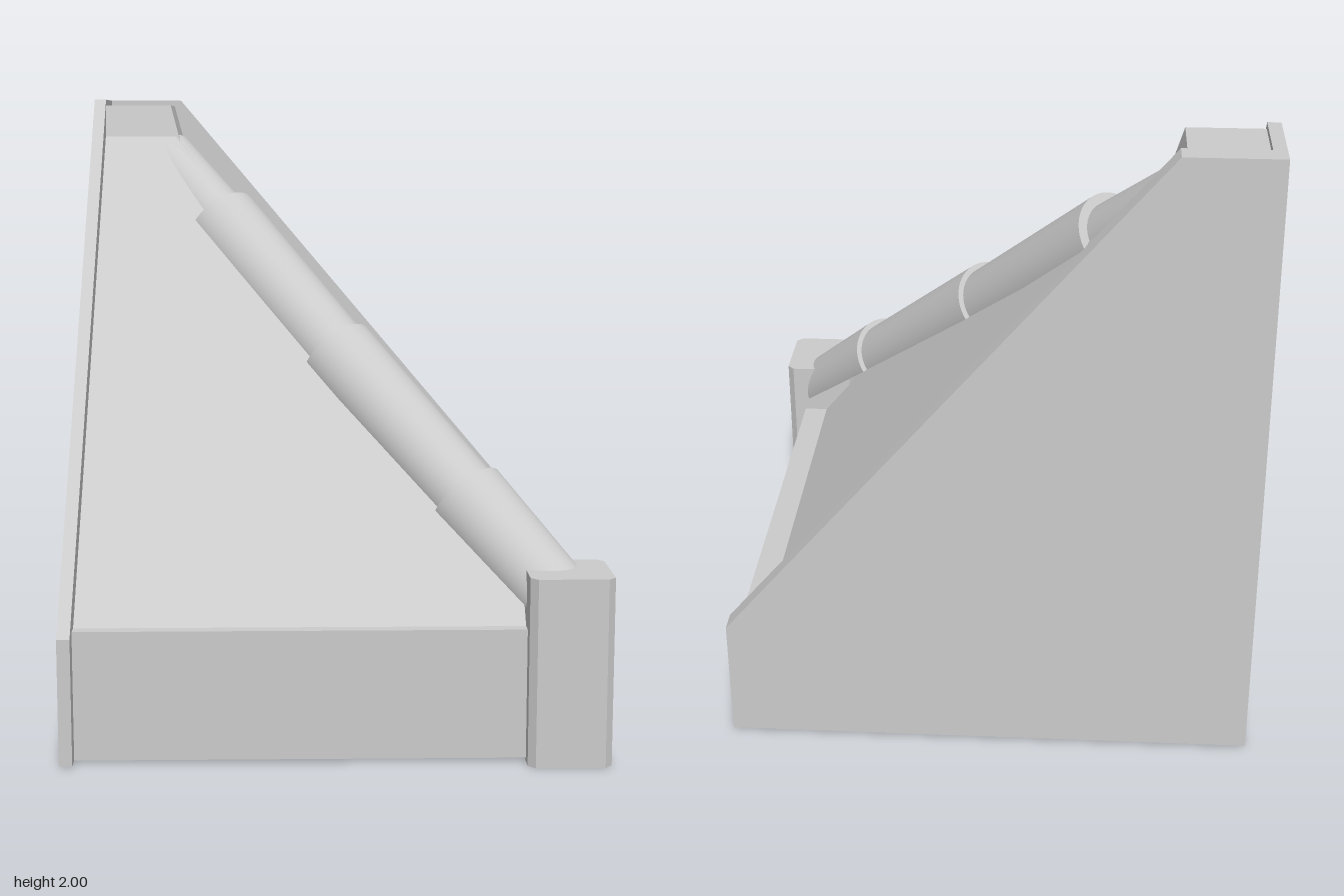
import * as THREE from 'three';

const grey = new THREE.MeshStandardMaterial({ color: 0xcccccc });
const greyFlat = new THREE.MeshStandardMaterial({ color: 0xcccccc, flatShading: true, side: THREE.DoubleSide });

function add(group, name, geometry, material = grey) {
  const mesh = new THREE.Mesh(geometry, material);
  mesh.name = name;
  group.add(mesh);
  return mesh;
}

// Box given by its lower and upper corners
function boxBetween([x0, y0, z0], [x1, y1, z1]) {
  return new THREE.BoxGeometry(x1 - x0, y1 - y0, z1 - z0)
    .translate((x0 + x1) / 2, (y0 + y1) / 2, (z0 + z1) / 2);
}

// Upright gable wall: tall at one end, sloping down to the other
function gable(start, thickness) {
  const shape = new THREE.Shape([
    [start, 0.01], [0.81, 0.01], [0.81, 0.4], [-0.54, 2], [start, 2],
  ].map(([a, y]) => new THREE.Vector2(a, y)));
  return new THREE.ExtrudeGeometry(shape, { depth: thickness, bevelEnabled: false });
}

// Flat four-cornered panel
function panel(a, b, c, d) {
  const g = new THREE.BufferGeometry();
  g.setAttribute('position', new THREE.Float32BufferAttribute([a, b, c, a, c, d].flat(), 3));
  g.computeVertexNormals();
  return g;
}

// Tapered rounded ridge tile, closed at its ends and open underneath
function ridgeTile(top, bottom, rTop, rBottom) {
  const a = new THREE.Vector3(...top), b = new THREE.Vector3(...bottom);
  const along = a.clone().sub(b);
  const length = along.length();
  along.normalize();
  const up = new THREE.Vector3(0, 1, 0).addScaledVector(along, -along.y).normalize();
  const side = new THREE.Vector3().crossVectors(along, up);
  const g = new THREE.CylinderGeometry(rTop, rBottom, length, 32, 1, false, -0.55 * Math.PI, 1.1 * Math.PI);
  g.applyMatrix4(new THREE.Matrix4().makeBasis(side, along, up));
  const mid = a.add(b).multiplyScalar(0.5);
  return g.translate(mid.x, mid.y, mid.z);
}

export function createModel() {
  const model = new THREE.Group();
  model.name = 'roofCorner';

  // Gable walls along the back and left edges
  add(model, 'backWall', gable(-0.79, 0.07)).position.z = -0.83;
  const sideWall = add(model, 'sideWall', gable(-0.83, 0.04));
  sideWall.rotation.y = -Math.PI / 2;
  sideWall.position.x = -0.79;

  // Low beams below the two slopes
  add(model, 'frontBeam', boxBetween([-0.79, 0.01, 0.69], [0.6, 0.41, 0.76]));
  add(model, 'rightBeam', boxBetween([0.69, 0.01, -0.76], [0.77, 0.41, 0.6]));

  // Two roof slopes meeting on the hip
  const eave = [0.69, 0.41, 0.72], peak = [-0.54, 1.87, -0.51];
  add(model, 'frontSlope', panel([-0.79, 0.41, 0.72], eave, peak, [-0.79, 1.87, -0.51]), greyFlat);
  add(model, 'rightSlope', panel(eave, [0.69, 0.41, -0.76], [-0.54, 1.87, -0.76], peak), greyFlat);

  // Corner post with chamfered edges
  const h = 0.127, c = 0.105;
  const outline = new THREE.Shape([
    [h, c], [c, h], [-c, h], [-h, c], [-h, -c], [-c, -h], [c, -h], [h, -c],
  ].map(([x, y]) => new THREE.Vector2(x, y)));
  const post = new THREE.ExtrudeGeometry(outline, { depth: 0.58, bevelEnabled: false }).rotateX(-Math.PI / 2);
  add(model, 'cornerPost', post).position.set(0.704, 0, 0.7);

  // Cap block at the peak, flaring towards its foot
  const cap = boxBetween([-0.79, 1.85, -0.76], [-0.56, 1.98, -0.54]);
  const p = cap.attributes.position;
  for (let i = 0; i < p.count; i++) {
    if (p.getY(i) > 1.9) continue;
    if (p.getX(i) > -0.7) p.setX(i, -0.525);
    if (p.getZ(i) > -0.7) p.setZ(i, -0.51);
  }
  cap.computeVertexNormals();
  add(model, 'peakCap', cap);

  // Overlapping ridge tiles down the hip
  const joints = [
    [-0.585, 1.79, -0.585], [-0.375, 1.57, -0.375], [0.02, 1.15, 0.015], [0.42, 0.737, 0.405], [0.68, 0.47, 0.66],
  ];
  for (let i = 0; i < 4; i++) {
    const end = joints[i + 1].map((v, k) => v + (i < 3 ? 0.08 : 0) * (v - joints[i][k]));
    add(model, 'ridgeTile' + (i + 1), ridgeTile(joints[i], end, i ? 0.137 : 0.108, i ? 0.117 : 0.106),
      new THREE.MeshStandardMaterial({ color: 0xcccccc, side: THREE.DoubleSide }));
  }
  return model;
}
